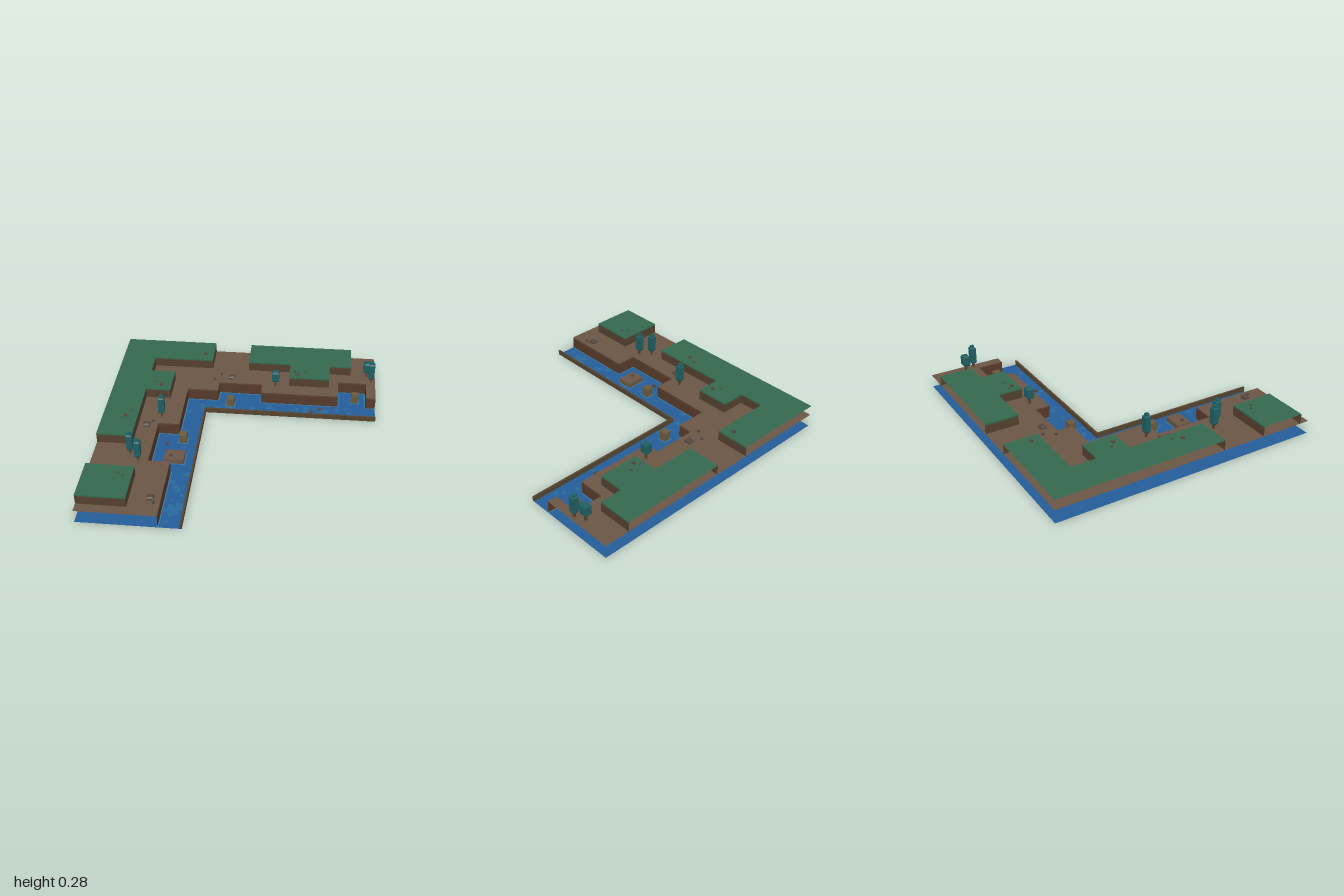
import * as THREE from 'three';

const WATER = 0, GROUND = 0.097, GRASS = 0.174, E = 0.285;

const mat = (color) => new THREE.MeshStandardMaterial({ color, flatShading: true, side: THREE.DoubleSide });
const M = {
  water: mat(0x255c98), foam: mat(0x35789c), ripple: mat(0x2a6a9a), ground: mat(0x6b5645),
  cliff: mat(0x57392b), lip: mat(0x624334), bank: mat(0x55442f), grass: mat(0x35694e),
  side: mat(0x54402f), rim: mat(0x6a5a3c), leaf: mat(0x205f62), trunk: mat(0x5a4430), rock: mat(0x55473f),
};

// Shoreline between the ground and the river, from the front end to the right end
const shore = [
  [-0.445, 1], [-0.445, 0.443], [-0.6, 0.443], [-0.6, 0.01], [-0.445, 0.01], [-0.445, -0.447],
  [-0.21, -0.447], [-0.21, -0.555], [0.123, -0.555], [0.123, -0.447], [0.713, -0.447],
  [0.713, -0.64], [0.928, -0.64], [0.928, -0.447], [1, -0.447],
];

// Raised grass areas: open wall lines that start and end on the outer border
const plateaus = [
  { wall: [[-E, -1], [-E, -0.747], [-0.745, -0.747], [-0.745, -0.56], [-0.56, -0.56], [-0.56, -0.312],
    [-0.745, -0.312], [-0.745, 0.272], [-1, 0.272]], close: [[-1, -1]] },
  { wall: [[0.81, -1], [0.81, -0.747], [0.64, -0.747], [0.64, -0.56], [0.333, -0.56], [0.333, -0.747],
    [0.003, -0.747], [0.003, -1]], close: [] },
  { wall: [[-1, 0.603], [-0.66, 0.603], [-0.66, 0.928], [-1, 0.928]], close: [] },
];

export function createModel() {
  const root = new THREE.Group();

  const add = (name, geo, material, parent = root) => {
    const mesh = new THREE.Mesh(geo, material);
    mesh.name = name;
    parent.add(mesh);
    return mesh;
  };

  // Flat polygon at height y, points given as [x, z]
  const sheet = (name, pts, y, material) => {
    const shape = new THREE.Shape(pts.map(([x, z]) => new THREE.Vector2(x, -z)));
    add(name, new THREE.ShapeGeometry(shape).rotateX(-Math.PI / 2).translate(0, y, 0), material);
  };

  // Vertical wall that follows a line of [x, z] points
  const wall = (name, pts, y0, y1, material) => {
    const pos = [];
    for (let i = 0; i < pts.length - 1; i++) {
      const [ax, az] = pts[i], [bx, bz] = pts[i + 1];
      pos.push(ax, y0, az, bx, y0, bz, bx, y1, bz, ax, y0, az, bx, y1, bz, ax, y1, az);
    }
    const geo = new THREE.BufferGeometry();
    geo.setAttribute('position', new THREE.Float32BufferAttribute(pos, 3));
    geo.computeVertexNormals();
    add(name, geo, material);
  };

  // Box standing on height y
  const block = (name, x, y, z, w, h, d, material) =>
    add(name, new THREE.BoxGeometry(w, h, d).translate(x, y + h / 2, z), material);

  // Square prism with a stepped profile of [half width, height] pairs
  const prism = (profile) => new THREE.LatheGeometry(
    profile.map(([r, y]) => new THREE.Vector2(r * Math.SQRT2, y)), 4, Math.PI / 4);

  // Water and ground
  sheet('water', [[-1, -1], [1, -1], [1, -E], [-E, -E], [-E, 1], [-1, 1]], WATER, M.water);
  sheet('ground', [[-1, -1], [-1, 1], ...shore, [1, -1]], GROUND, M.ground);
  wall('cliffBase', shore, WATER, 0.085, M.cliff);
  wall('cliffLip', shore, 0.085, GROUND, M.lip);

  // Grass plateaus
  for (const { wall: line, close } of plateaus) {
    sheet('grassTop', [...line, ...close], GRASS, M.grass);
    wall('plateauSide', line, GROUND, 0.163, M.side);
    wall('grassEdge', line, 0.163, GRASS, M.grass);
  }

  // Low bank along the inner edge of the river
  const T = 0.014;
  block('riverBankRight', (1 - E - T) / 2, WATER, -E - T / 2, 1 + E + T, 0.036, T, M.bank);
  block('riverBankFront', -E - T / 2, WATER, (1 - E) / 2, T, 0.036, 1 + E, M.bank);

  // Foam strips along the shore
  const foam = (x0, z0, x1, z1, grow) => {
    const w = Math.abs(x1 - x0) + grow, d = Math.abs(z1 - z0) + grow;
    add('foam', new THREE.PlaneGeometry(w, d).rotateX(-Math.PI / 2)
      .translate((x0 + x1) / 2, 0.003, (z0 + z1) / 2), M.foam);
  };
  for (let i = 0; i < shore.length - 1; i++) {
    const [[ax, az], [bx, bz]] = [shore[i], shore[i + 1]];
    const w = 0.009;
    if (ax === bx) foam(ax - w, az, bx + w, bz, 0);
    else foam(ax, az - w, bx, bz + w, 0);
  }

  // Ripple patches in both arms of the river
  let seed = 7;
  const rand = () => (seed = (seed * 16807) % 2147483647) / 2147483647;
  for (let i = 0; i < 44; i++) {
    const along = -0.38 + rand() * 1.33, across = -0.42 + rand() * 0.1;
    const [x, z] = i % 2 ? [along, across] : [across, along];
    const s = 0.015 + rand() * 0.03;
    add('ripple', new THREE.PlaneGeometry(s, s * (0.7 + rand())).rotateX(-Math.PI / 2)
      .translate(x, 0.0015, z), M.ripple);
  }

  // Stone pillars and the small island in the river
  for (const [x, z] of [[-0.11, -0.4], [0.845, -0.53], [-0.408, 0.083]]) {
    block('pillar', x, WATER, z, 0.055, 0.07, 0.055, M.rim);
    foam(x, z, x, z, 0.075);
  }
  block('island', -0.438, WATER, 0.295, 0.142, 0.04, 0.108, M.ground);
  foam(-0.438 - 0.071, 0.241, -0.438 + 0.071, 0.349, 0.02);

  // Trees: x, z, tall or short
  const tall = [[0.014, 0.13], [0.022, 0.145], [0.022, 0.258], [0.014, 0.266], [0.014, 0.279], [0, 0.279]];
  const short = [[0, 0.143], [0.02, 0.143], [0.027, 0.153], [0.027, 0.217], [0.019, 0.23], [0, 0.23]];
  for (const [x, z, profile] of [
    [-0.737, 0.375, tall], [-0.67, 0.445, tall], [-0.588, -0.08, tall], [0.967, -0.67, tall],
    [0.227, -0.553, short], [0.935, -0.743, short],
  ]) {
    const tree = new THREE.Group();
    tree.name = 'tree';
    tree.position.set(x, 0, z);
    add('canopy', prism(profile), M.leaf, tree);
    add('trunk', new THREE.BoxGeometry(0.014, 0.06, 0.014).translate(0, GROUND + 0.03, 0), M.trunk, tree);
    root.add(tree);
  }

  // Large stepped rocks on the ground
  const rock = prism([[0.024, 0], [0.024, 0.012], [0.015, 0.023], [0, 0.023]]);
  for (const [x, z] of [[-0.12, -0.627], [-0.68, 0.042], [-0.515, 0.828]]) {
    add('largeRock', rock, M.rock).position.set(x, GROUND, z);
  }

  // Pebbles: base height, size, positions
  for (const [y, s, spots] of [
    [GROUND, 0.017, [[-0.253, -0.592], [-0.205, -0.667], [-0.643, -0.007], [-0.488, 0.875]]],
    [GRASS, 0.021, [[-0.35, -0.828], [-0.64, -0.372], [-0.833, 0.045], [0.395, -0.607]]],
    [GRASS, 0.012, [[-0.68, -0.41], [-0.803, -0.022], [0.372, -0.642], [0.458, -0.65], [-0.722, 0.706], [-0.76, 0.68]]],
    [WATER, 0.022, [[0.515, -0.36], [0.58, -0.39], [-0.525, 0.13]]],
    [0.04, 0.018, [[-0.462, 0.308]]],
  ]) {
    for (const [x, z] of spots) block('pebble', x, y, z, s, s * 0.65, s, M.rock);
  }

  return root;
}
